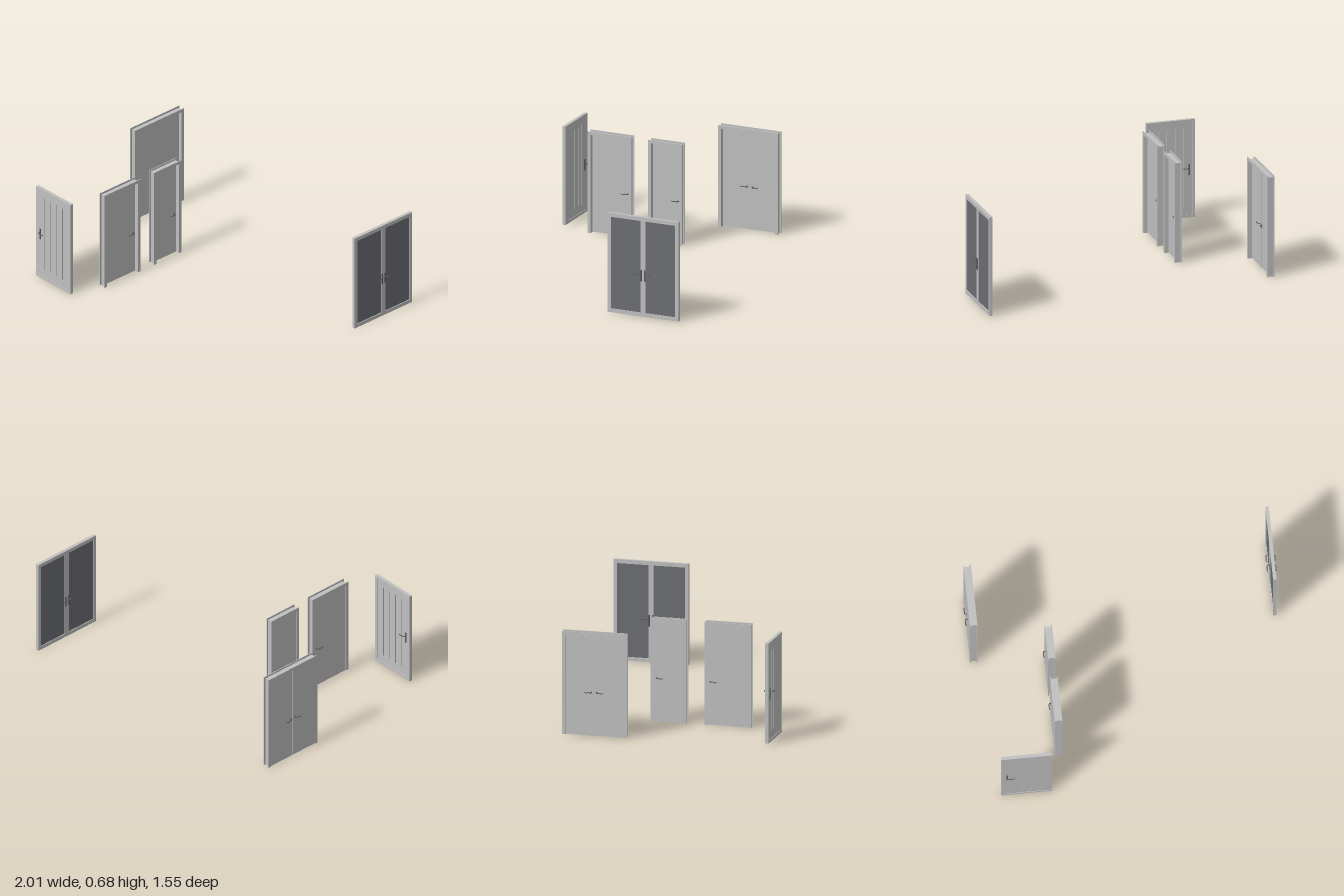
import * as THREE from 'three';

const mat = (name, color) => {
  const m = new THREE.MeshStandardMaterial({ color });
  m.name = name;
  return m;
};

export function createModel() {
  const paint = mat('light grey paint', 0xc0c0c0);
  const glass = mat('dark glass', 0x6c6d72);
  const metal = mat('handle metal', 0x5c5c5e);
  const root = new THREE.Group();

  const add = (parent, name, geo, material) => {
    const m = new THREE.Mesh(geo, material);
    m.name = name;
    parent.add(m);
    return m;
  };
  const box = (parent, name, w, h, d, x, y, z, material = paint) =>
    add(parent, name, new THREE.BoxGeometry(w, h, d), material).position.set(x, y, z);

  // Rectangular outline given by its edges
  const rect = (Type, x0, y0, x1, y1) => {
    const s = new Type();
    s.moveTo(x0, y0);
    s.lineTo(x1, y0);
    s.lineTo(x1, y1);
    s.lineTo(x0, y1);
    s.closePath();
    return s;
  };
  // Flat slab with rectangular openings, from z0 to z1
  const slab = (parent, name, outer, holes, z0, z1) => {
    const s = rect(THREE.Shape, ...outer);
    holes.forEach(h => s.holes.push(rect(THREE.Path, ...h)));
    const g = new THREE.ExtrudeGeometry(s, { depth: z1 - z0, bevelEnabled: false });
    add(parent, name, g.translate(0, 0, z0), paint);
  };
  // Portal open at the floor
  const portal = (parent, name, half, top, border, z0, z1) => {
    const a = half, b = half - border;
    const pts = [[-a, 0], [-b, 0], [-b, top - border], [b, top - border], [b, 0], [a, 0], [a, top], [-a, top]];
    const s = new THREE.Shape(pts.map(p => new THREE.Vector2(...p)));
    const g = new THREE.ExtrudeGeometry(s, { depth: z1 - z0, bevelEnabled: false });
    add(parent, name, g.translate(0, 0, z0), paint);
  };

  // Bent lever on both faces; dir is the way the lever points
  const handles = (parent, x, y, zFront, zBack, dir, reach, plate) => {
    for (const side of [1, -1]) {
      const h = new THREE.Group();
      h.name = 'handle';
      h.position.set(x, y, side > 0 ? zFront : zBack);
      const path = new THREE.CatmullRomCurve3([
        [0, 0, 0], [0, 0, 0.6], [0.006, 0, 0.95], [0.018, 0.002, 1], [0.03, -0.002, 0.97], [0.042, 0.001, 0.85],
      ].map(([px, py, pz]) => new THREE.Vector3(px * dir, py, pz * reach * side)));
      add(h, 'lever', new THREE.TubeGeometry(path, 20, 0.003, 8), metal);
      const end = path.getPoint(1);
      add(h, 'leverTip', new THREE.SphereGeometry(0.003, 8, 6), metal).position.copy(end);
      if (plate) box(h, 'backPlate', 0.01, 0.075, 0.004, 0, -0.012, side * 0.002, metal);
      else add(h, 'rose', new THREE.CylinderGeometry(0.006, 0.006, 0.004, 16).rotateX(Math.PI / 2), metal);
      parent.add(h);
    }
  };

  const place = (name, x, z, turned) => {
    const g = new THREE.Group();
    g.name = name;
    g.position.set(x, 0, z);
    if (turned) g.rotation.y = -Math.PI / 2; // local x runs along world z
    root.add(g);
    return g;
  };

  // Cased door with one or two leaves set near one face
  const casedDoor = (name, x, z, half, leaves) => {
    const g = place(name, x, z, true);
    const inner = half - 0.021;
    portal(g, 'frontCasing', half, 0.675, 0.021, 0.019, 0.024);
    portal(g, 'backCasing', half, 0.675, 0.021, -0.024, -0.019);
    portal(g, 'jamb', half - 0.012, 0.663, 0.009, -0.019, 0.019);
    const w = 2 * inner / leaves;
    for (let i = 0; i < leaves; i++) {
      box(g, 'leaf', w - 0.002, 0.65, 0.02, -inner + w * (i + 0.5), 0.328, 0.012);
      const dir = leaves === 1 || i === 1 ? 1 : -1;
      const hx = leaves === 1 ? -inner + 0.018 : dir * 0.018;
      handles(g, hx, 0.285, 0.022, 0.002, dir, 0.014, false);
    }
    if (leaves === 2) box(g, 'meetingStrip', 0.016, 0.65, 0.004, 0, 0.328, 0.001);
  };
  casedDoor('singleDoor', -0.497, 0.3875, 0.1545, 1);
  casedDoor('narrowDoor', -0.497, -0.0015, 0.1185, 1);
  casedDoor('doubleDoor', -0.968, -0.3635, 0.211, 2);

  // Panelled leaf facing the front
  const panelDoor = place('panelDoor', -0.7225, 0.746, false);
  slab(panelDoor, 'leafFrame', [-0.1625, 0, 0.1625, 0.655], [[-0.144, 0.019, 0.144, 0.638]], -0.011, 0.011);
  box(panelDoor, 'panelCore', 0.288, 0.619, 0.006, 0, 0.3285, 0);
  const grooves = [-0.085, -0.028, 0.028, 0.085].map(x => [x - 0.0035, 0.07, x + 0.0035, 0.595]);
  slab(panelDoor, 'groovedFront', [-0.144, 0.019, 0.144, 0.638], grooves, 0.003, 0.008);
  slab(panelDoor, 'groovedBack', [-0.144, 0.019, 0.144, 0.638], grooves, -0.008, -0.003);
  handles(panelDoor, -0.124, 0.332, 0.008, -0.008, 1, 0.021, true);

  // Glazed pair of leaves
  const glazed = place('glazedDoor', 0.966, -0.528, true);
  const panes = [[-0.225, 0.025, -0.017, 0.635], [0.017, 0.025, 0.225, 0.635]];
  slab(glazed, 'glazedFrame', [-0.248, 0, 0.248, 0.66], panes, -0.011, 0.011);
  for (const s of [-1, 1]) {
    box(glazed, 'pane', 0.208, 0.61, 0.012, s * 0.121, 0.33, 0, glass);
    handles(glazed, s * 0.013, 0.285, 0.011, -0.011, s, 0.018, true);
  }
  return root;
}
